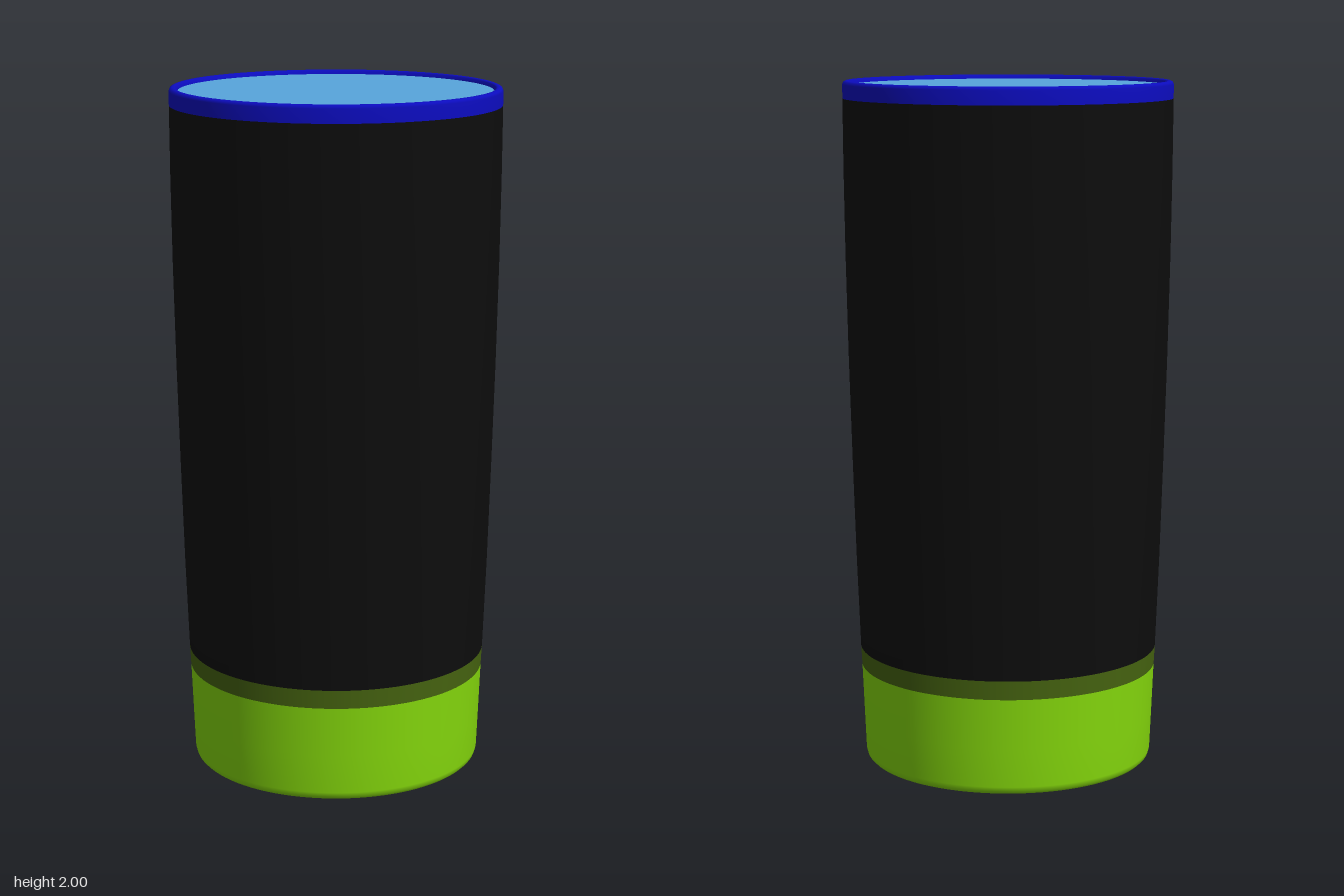
import * as THREE from 'three';

const paint = (name, color) => {
  const m = new THREE.MeshStandardMaterial({ color });
  m.name = name;
  return m;
};

export function createModel() {
  const group = new THREE.Group();
  group.name = 'tumbler';
  const green = paint('lime green', 0x85d80c);
  const olive = paint('dark olive', 0x466410);
  const black = paint('black', 0x0d0d0d);
  const blue = paint('deep blue', 0x0c0cc0);
  const sky = paint('sky blue', 0x58a5dc);

  // Each section is a surface of revolution through [radius, height] points
  const turn = (name, material, points) => {
    const profile = points.map(([r, y]) => new THREE.Vector2(r, y));
    const mesh = new THREE.Mesh(new THREE.LatheGeometry(profile, 96), material);
    mesh.name = name;
    group.add(mesh);
  };
  const disc = (name, material, radius, y, up) => {
    const mesh = new THREE.Mesh(new THREE.CircleGeometry(radius, 96), material);
    mesh.rotation.x = up ? -Math.PI / 2 : Math.PI / 2;
    mesh.position.y = y;
    mesh.name = name;
    group.add(mesh);
  };

  // Base with a rounded lower edge and flat underside
  disc('underside', green, 0.4, 0, false);
  turn('base', green, [[0.4, 0], [0.412, 0.003], [0.42, 0.011], [0.424, 0.025], [0.429, 0.14], [0.435, 0.285]]);
  turn('baseBand', olive, [[0.435, 0.285], [0.438, 0.34]]);

  // Gently flaring body
  turn('body', black, [
    [0.438, 0.34], [0.448, 0.6], [0.457, 0.9], [0.465, 1.2],
    [0.471, 1.5], [0.474, 1.75], [0.475, 1.95],
  ]);

  // Rim with softened edges, dropping slightly to the lid
  turn('rim', blue, [
    [0.475, 1.95], [0.475, 1.99], [0.472, 1.997], [0.466, 2],
    [0.459, 2], [0.453, 1.997], [0.45, 1.985],
  ]);
  disc('lid', sky, 0.451, 1.988, true);

  return group;
}
